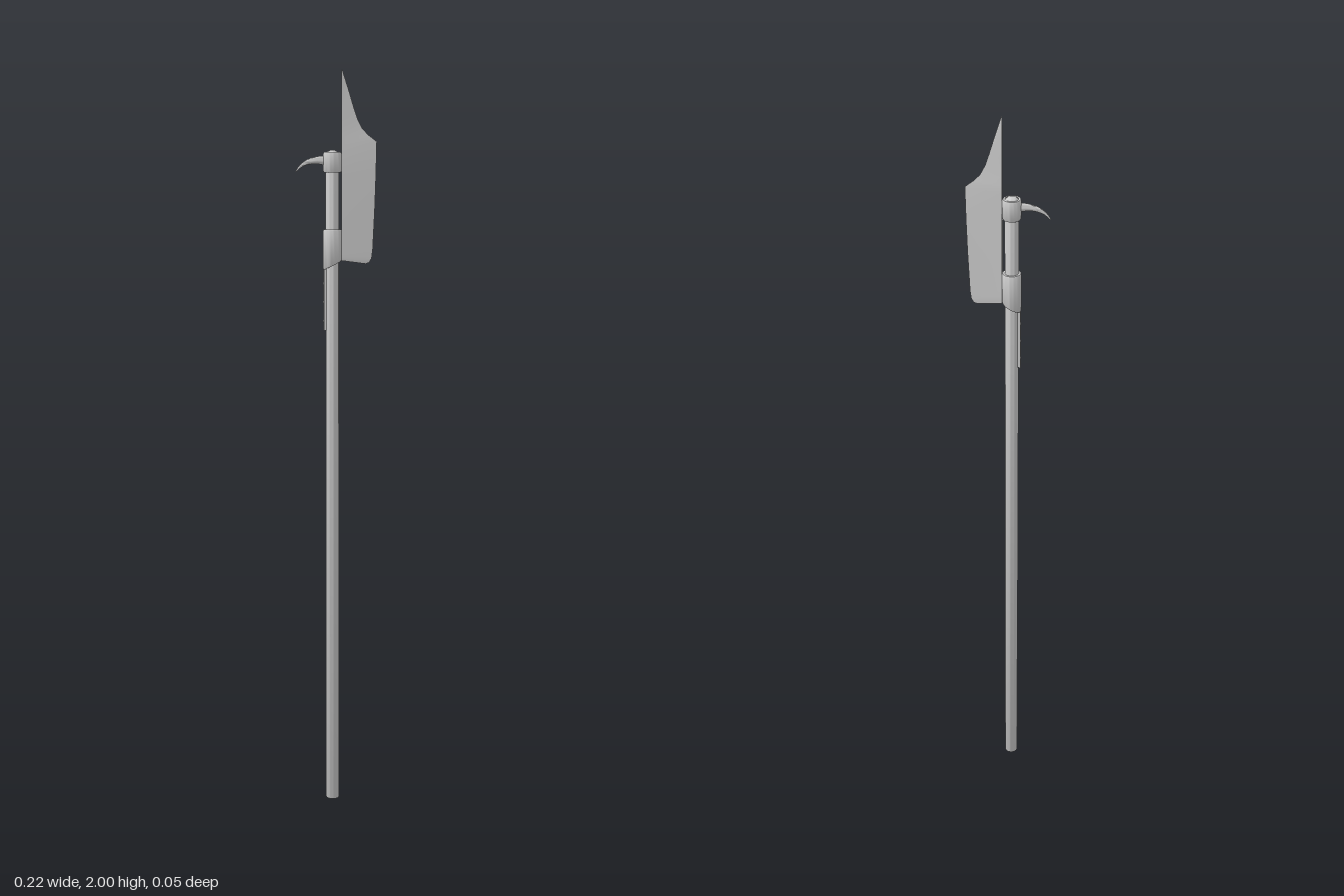
import * as THREE from 'three';
import { toCreasedNormals } from 'three/addons/utils/BufferGeometryUtils.js';

const AXIS = -0.011; // x of the shaft's centre line
const material = new THREE.MeshStandardMaterial({ color: 0xcccccc, side: THREE.DoubleSide });

// Skin a list of rings (arrays of [x, y, z], counter-clockwise about the path) and cap both ends
function loft(rings, crease) {
  const n = rings[0].length;
  const index = [];
  for (let i = 0; i < rings.length - 1; i++) {
    for (let j = 0; j < n; j++) {
      const k = (j + 1) % n;
      const a = i * n + j, b = i * n + k, c = b + n, d = a + n;
      index.push(a, b, c, a, c, d);
    }
  }
  const last = (rings.length - 1) * n;
  for (let j = 1; j < n - 1; j++) {
    index.push(0, j + 1, j, last, last + j, last + j + 1);
  }
  const g = new THREE.BufferGeometry();
  g.setAttribute('position', new THREE.Float32BufferAttribute(rings.flat(2), 3));
  g.setIndex(index);
  return toCreasedNormals(g, crease);
}

function lathe(points) {
  const g = new THREE.LatheGeometry(points.map(([r, y]) => new THREE.Vector2(r, y)), 32);
  return g.translate(AXIS, 0, 0);
}

// Slightly bulged sleeve around the shaft; slant raises its lower rim towards the blade
function sleeve(y0, y1, r, slant) {
  const g = lathe([
    [0.017, y0], [r - 0.002, y0], [r, y0 + 0.004], [r, y1 - 0.004], [r - 0.002, y1], [0.017, y1],
  ]);
  const p = g.attributes.position;
  for (let i = 0; i < p.count; i++) {
    if (p.getY(i) < (y0 + y1) / 2) p.setY(i, p.getY(i) + slant * (p.getX(i) - AXIS));
  }
  return toCreasedNormals(g, 0.7);
}

function bladeGeometry() {
  const spine = 0.013;
  // [spine y, edge y, edge x, half thickness at the spine], bottom to top
  const rows = [
    [1.497, 1.488, 0.078, 0.01], [1.505, 1.492, 0.088, 0.01], [1.515, 1.503, 0.094, 0.01],
    [1.53, 1.525, 0.097, 0.01], [1.63, 1.63, 0.102, 0.01], [1.72, 1.72, 0.105, 0.01],
    [1.80, 1.812, 0.107, 0.009], [1.825, 1.829, 0.085, 0.008], [1.845, 1.845, 0.069, 0.007],
    [1.87, 1.87, 0.056, 0.006], [1.90, 1.90, 0.046, 0.005], [1.95, 1.95, 0.031, 0.003],
    [2.0, 2.0, 0.015, 0.0008],
  ];
  return loft(rows.map(([ys, ye, x, t]) => [[spine, ys, t], [x, ye, 0], [spine, ys, -t]]), 0.5);
}

function spikeGeometry() {
  const curve = new THREE.CatmullRomCurve3([
    [-0.028, 1.762], [-0.052, 1.763], [-0.077, 1.758], [-0.096, 1.747], [-0.109, 1.732],
  ].map(([x, y]) => new THREE.Vector3(x, y, 0)));
  const steps = 12, sides = 12, rings = [];
  for (let i = 0; i <= steps; i++) {
    const t = i / steps;
    const p = curve.getPoint(t), d = curve.getTangent(t);
    const h = 0.0015 + 0.0115 * (1 - t) ** 1.1; // half height
    const w = 0.002 + 0.0045 * (1 - t);         // half width
    const ring = [];
    for (let j = 0; j < sides; j++) {
      const a = (j / sides) * Math.PI * 2;
      const v = Math.sin(a) * h;
      ring.push([p.x + d.y * v, p.y - d.x * v, Math.cos(a) * w]);
    }
    rings.push(ring);
  }
  return loft(rings, 0.9);
}

export function createModel() {
  const model = new THREE.Group();
  model.name = 'poleaxe';
  const add = (name, geometry) => {
    const mesh = new THREE.Mesh(geometry, material);
    mesh.name = name;
    model.add(mesh);
    return mesh;
  };

  // Long round pole with a softly domed top
  const r = 0.018;
  const dome = [0, 0.25, 0.5, 0.75, 1].map((t) => [
    r * Math.cos(t * Math.PI / 2), 1.778 + 0.012 * Math.sin(t * Math.PI / 2),
  ]);
  add('shaft', toCreasedNormals(lathe([[0, 0], [r - 0.001, 0], [r, 0.002], ...dome]), 0.7));

  // Sleeves holding the blade
  add('upperSleeve', sleeve(1.73, 1.784, 0.0245, 0));
  add('lowerSleeve', sleeve(1.484, 1.58, 0.0255, 0.5));

  add('blade', bladeGeometry());
  add('hookSpike', spikeGeometry());

  // Strap down the back of the shaft with its rivets
  add('strap', new THREE.BoxGeometry(0.01, 0.18, 0.017).translate(-0.0295, 1.4, 0));
  for (const y of [1.335, 1.385, 1.435]) {
    const rivet = add('rivet', new THREE.SphereGeometry(0.004, 12, 8));
    rivet.scale.x = 0.5;
    rivet.position.set(-0.0345, y, 0);
  }
  return model;
}
